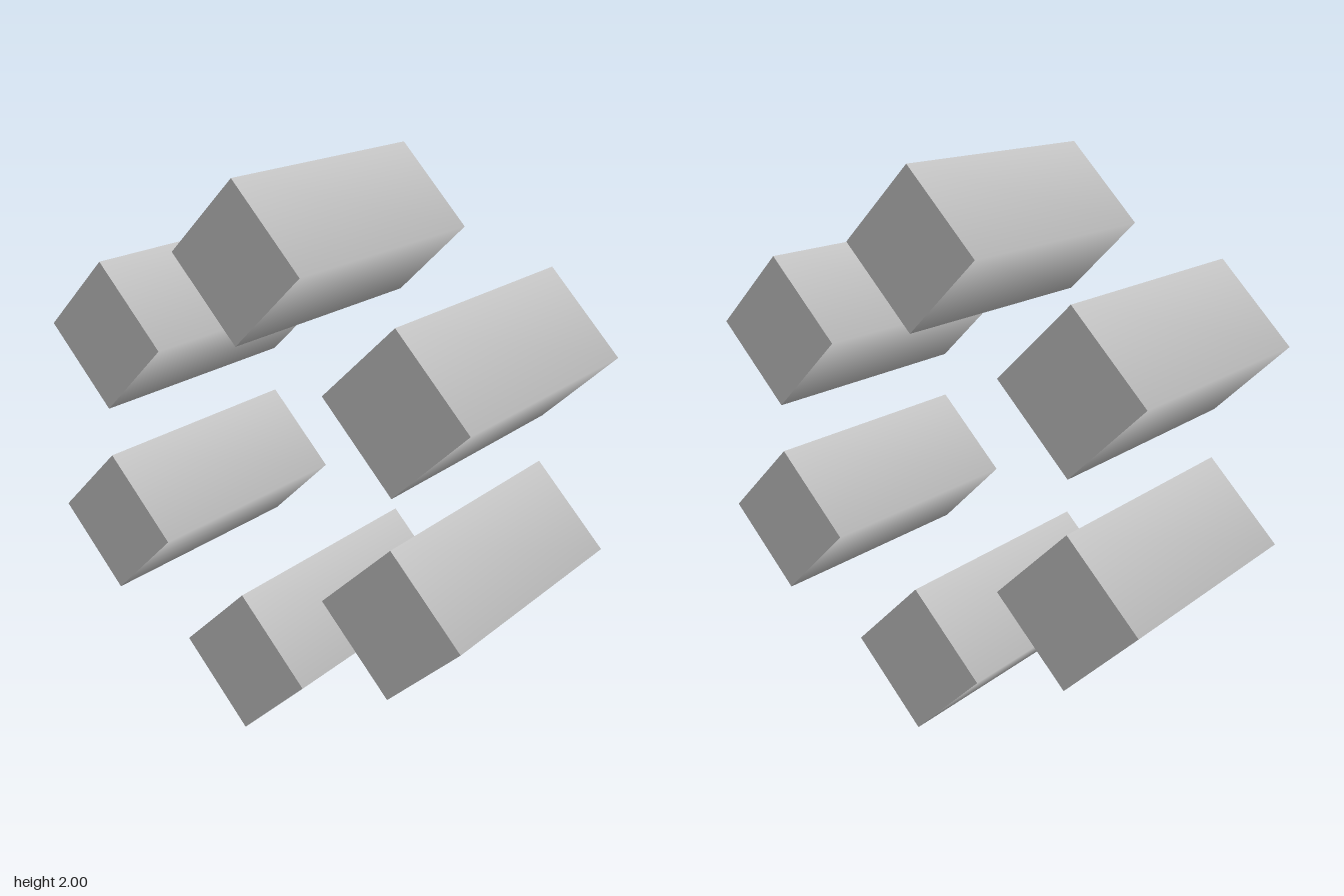
import * as THREE from 'three';

const RADIUS = 0.272;
const LENGTH = 0.92;

export function createModel() {
  const group = new THREE.Group();
  group.name = 'chamberRing';
  const material = new THREE.MeshStandardMaterial({ color: 0xcccccc });

  // Four-sided, smooth-shaded bar lying along z, with one corner up
  const bar = new THREE.CylinderGeometry(RADIUS, RADIUS, LENGTH, 4);
  bar.rotateX(Math.PI / 2);

  // Bar centres, clockwise from the top; the lower ones sit slightly off a true hexagon
  const centres = [
    [0, 1.728], [0.63, 1.367], [0.63, 0.647],
    [0, 0.273], [-0.63, 0.64], [-0.63, 1.367],
  ];
  centres.forEach(([x, y], i) => {
    const mesh = new THREE.Mesh(bar, material);
    mesh.name = `chamberBar${i + 1}`;
    mesh.position.set(x, y, 0);
    group.add(mesh);
  });
  return group;
}
